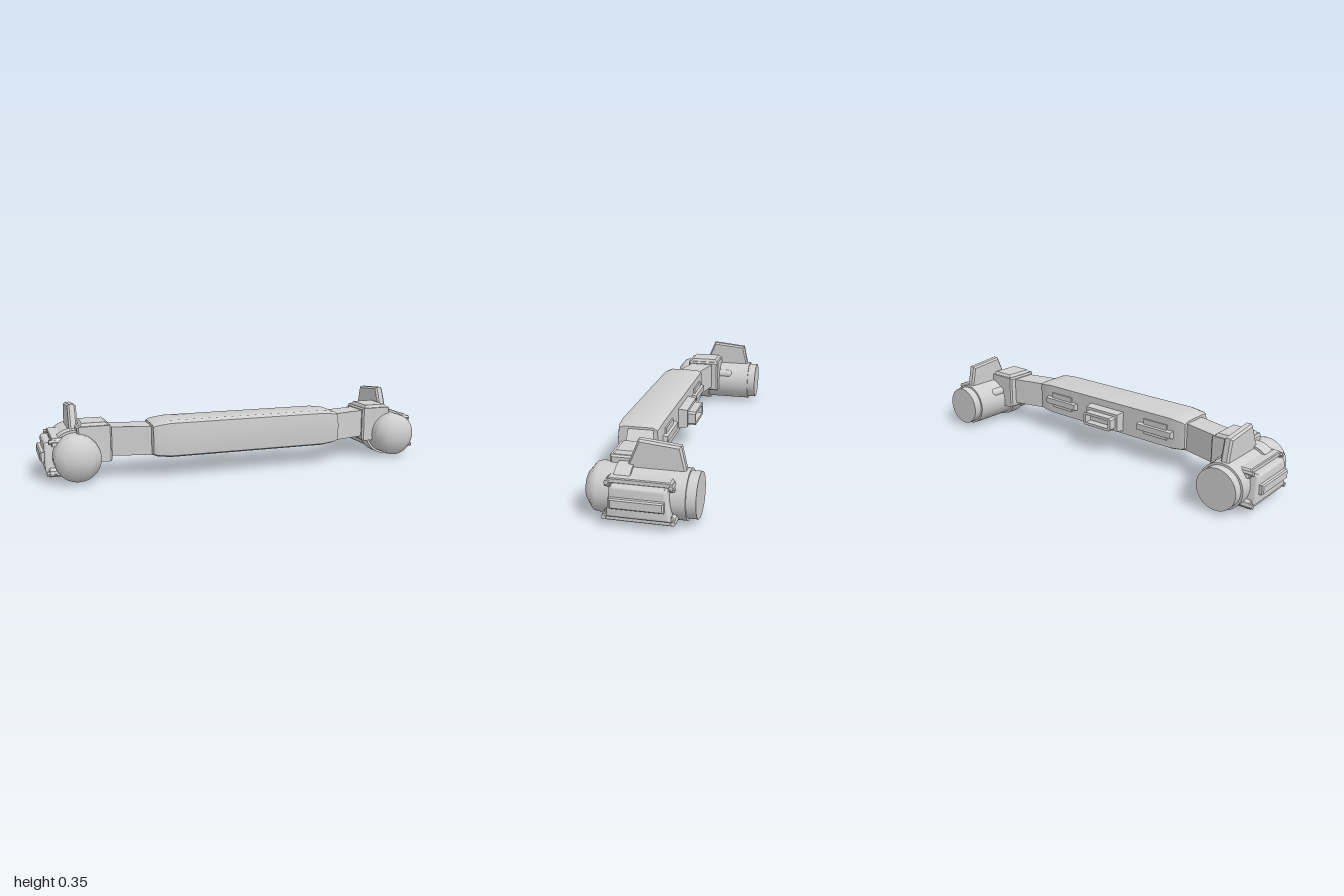
import * as THREE from 'three';
import { toCreasedNormals } from 'three/addons/utils/BufferGeometryUtils.js';
import { ConvexGeometry } from 'three/addons/geometries/ConvexGeometry.js';

const grey = new THREE.MeshStandardMaterial({ color: 0xcfcfcf });
grey.name = 'light grey';

function add(parent, name, geometry, x = 0, y = 0, z = 0) {
  const mesh = new THREE.Mesh(geometry, grey);
  mesh.name = name;
  mesh.position.set(x, y, z);
  parent.add(mesh);
  return mesh;
}

// Bevelled slab: outline given as [z, y] points, spanning x0..x1
function slab(outline, x0, x1, bevel, segments = 1) {
  const shape = new THREE.Shape(outline.map(([z, y]) => new THREE.Vector2(-z, y)));
  const geometry = new THREE.ExtrudeGeometry(shape, {
    depth: x1 - x0 - 2 * bevel, bevelEnabled: true, bevelThickness: bevel,
    bevelSize: bevel, bevelOffset: -bevel, bevelSegments: segments,
  });
  return toCreasedNormals(geometry.rotateY(Math.PI / 2).translate(x0 + bevel, 0, 0), 0.6);
}

const rect = (z0, z1, y0, y1) => [[z0, y0], [z0, y1], [z1, y1], [z1, y0]];

// Tapered block: base and outer rectangles [halfWidth, halfHeight], from z0 to z1
function taperedBlock(base, outer, z0, z1) {
  const points = [];
  for (const [[w, h], z] of [[base, z0], [outer, z1]])
    for (const sx of [-1, 1]) for (const sy of [-1, 1])
      points.push(new THREE.Vector3(sx * w, sy * h, z));
  return new ConvexGeometry(points);
}

function createPod() {
  const pod = new THREE.Group();
  const cx = 0.835, cy = 0.122;

  // Barrel with rounded nose and stepped rear cap
  const profile = [[0, -0.245], [0.1, -0.245], [0.1, -0.203], [0.11, -0.203], [0.11, 0.178],
    [0.107, 0.2], [0.066, 0.234], [0.028, 0.245], [0, 0.247]];
  const barrel = new THREE.LatheGeometry(profile.map(p => new THREE.Vector2(...p)), 40);
  add(pod, 'barrel', toCreasedNormals(barrel.rotateX(Math.PI / 2), 0.8), cx, cy, 0);
  const band = new THREE.CylinderGeometry(0.121, 0.121, 0.07, 40).rotateX(Math.PI / 2);
  add(pod, 'collarBand', band, cx, cy, 0.07);

  // Upright fin
  add(pod, 'fin', slab([[0.072, 0.215], [0.015, 0.353], [-0.166, 0.335], [-0.192, 0.215]],
    cx - 0.021, cx + 0.021, 0.009));

  // Outer side panel with raised bar
  add(pod, 'sidePanel', slab([[0.125, 0.052], [0.122, 0.07], [0.108, 0.182], [0.1, 0.192],
    [-0.125, 0.192], [-0.134, 0.182], [-0.148, 0.07], [-0.15, 0.052]], 0.88, 0.98, 0.014, 3));
  add(pod, 'sideBar', slab(rect(0.102, -0.127, 0.1, 0.146), 0.96, 1, 0.006));

  // Rails above and below the panel, with lugs carrying hexagonal bolts
  add(pod, 'upperRail', slab([[0.136, 0.176], [0.131, 0.202], [0.118, 0.214], [-0.142, 0.214],
    [-0.155, 0.202], [-0.16, 0.176], [-0.142, 0.172], [-0.13, 0.19], [0.106, 0.19], [0.117, 0.172]],
    0.88, 0.947, 0.004));
  add(pod, 'lowerRail', slab([[0.145, 0.042], [0.128, 0.031], [-0.154, 0.031], [-0.17, 0.044],
    [-0.166, 0.064], [-0.152, 0.076], [-0.142, 0.058], [0.117, 0.058], [0.128, 0.076], [0.142, 0.062]],
    0.87, 0.963, 0.004));
  for (const [z, y, x] of [[0.123, 0.197, 0.93], [-0.148, 0.197, 0.93],
    [0.134, 0.049, 0.945], [-0.16, 0.049, 0.945]]) {
    const bolt = new THREE.CylinderGeometry(0.011, 0.011, 0.06, 6).rotateZ(Math.PI / 2);
    add(pod, 'bolt', toCreasedNormals(bolt, 0.5), x, y, z);
  }

  // Elbow block with cap and rear fairing
  add(pod, 'elbowBlock', slab(rect(0.147, -0.03, 0.09, 0.264), 0.668, 0.83, 0.008));
  const cap = taperedBlock([0.067, 0.08], [0.056, 0.069], 0, 0.016).rotateX(-Math.PI / 2);
  add(pod, 'elbowCap', cap, 0.749, 0.262, 0.058);
  const fairing = new THREE.CapsuleGeometry(0.024, 0.08, 6, 14).rotateX(Math.PI / 2);
  add(pod, 'fairing', fairing, 0.756, 0.175, -0.045);

  // Slanted arm reaching in to the beam
  const arm = [];
  for (const [x, z0, z1] of [[0.7, -0.002, 0.122], [0.46, 0.056, 0.18]])
    for (const y of [0.112, 0.252])
      arm.push(new THREE.Vector3(x, y, z0), new THREE.Vector3(x, y, z1));
  add(pod, 'arm', new ConvexGeometry(arm));
  return pod;
}

export function createModel() {
  const model = new THREE.Group();
  model.name = 'crossbeamWithPods';

  // Main beam: one cross-section, shrunk at both ends
  const section = [[0.2, 0.28], [0.225, 0.269], [0.233, 0.19], [0.225, 0.111], [0.2, 0.1],
    [0.05, 0.1], [0.024, 0.113], [0.024, 0.267], [0.05, 0.28]];
  const beam = [];
  for (const [x, sy, sz] of [[0.484, 0.81, 0.92], [0.468, 0.9, 0.97], [0.4, 1, 1]])
    for (const side of [-1, 1])
      for (const [z, y] of section)
        beam.push(new THREE.Vector3(side * x, 0.19 + (y - 0.19) * sy, 0.128 + (z - 0.128) * sz));
  add(model, 'beam', toCreasedNormals(new ConvexGeometry(beam), 0.55));

  // Rear centre socket: tapered base with an open frame
  add(model, 'socketBase', taperedBlock([0.11, 0.052], [0.103, 0.045], 0.03, -0.02), 0, 0.18, 0);
  const frame = new THREE.Shape([[-0.09, -0.026], [-0.08, -0.036], [0.08, -0.036], [0.09, -0.026],
    [0.09, 0.024], [0.08, 0.034], [-0.08, 0.034], [-0.09, 0.024]].map(p => new THREE.Vector2(...p)));
  frame.holes.push(new THREE.Path([[-0.075, -0.022], [-0.075, 0.02], [0.075, 0.02], [0.075, -0.022]]
    .map(p => new THREE.Vector2(...p))));
  add(model, 'socketFrame', new THREE.ExtrudeGeometry(frame, { depth: 0.042, bevelEnabled: false }),
    0, 0.178, -0.06);

  // Rear latches either side of the socket
  for (const side of [-1, 1]) {
    add(model, 'latchPlate', new THREE.BoxGeometry(0.14, 0.08, 0.012), side * 0.315, 0.19, 0.022);
    add(model, 'latchBar', taperedBlock([0.108, 0.02], [0.102, 0.015], 0.03, 0.002), side * 0.315, 0.185, 0);
  }

  // Pods, mirrored left and right
  for (const side of [1, -1]) {
    const pod = createPod();
    pod.name = side > 0 ? 'leftPod' : 'rightPod';
    pod.scale.x = side;
    model.add(pod);
  }
  return model;
}
